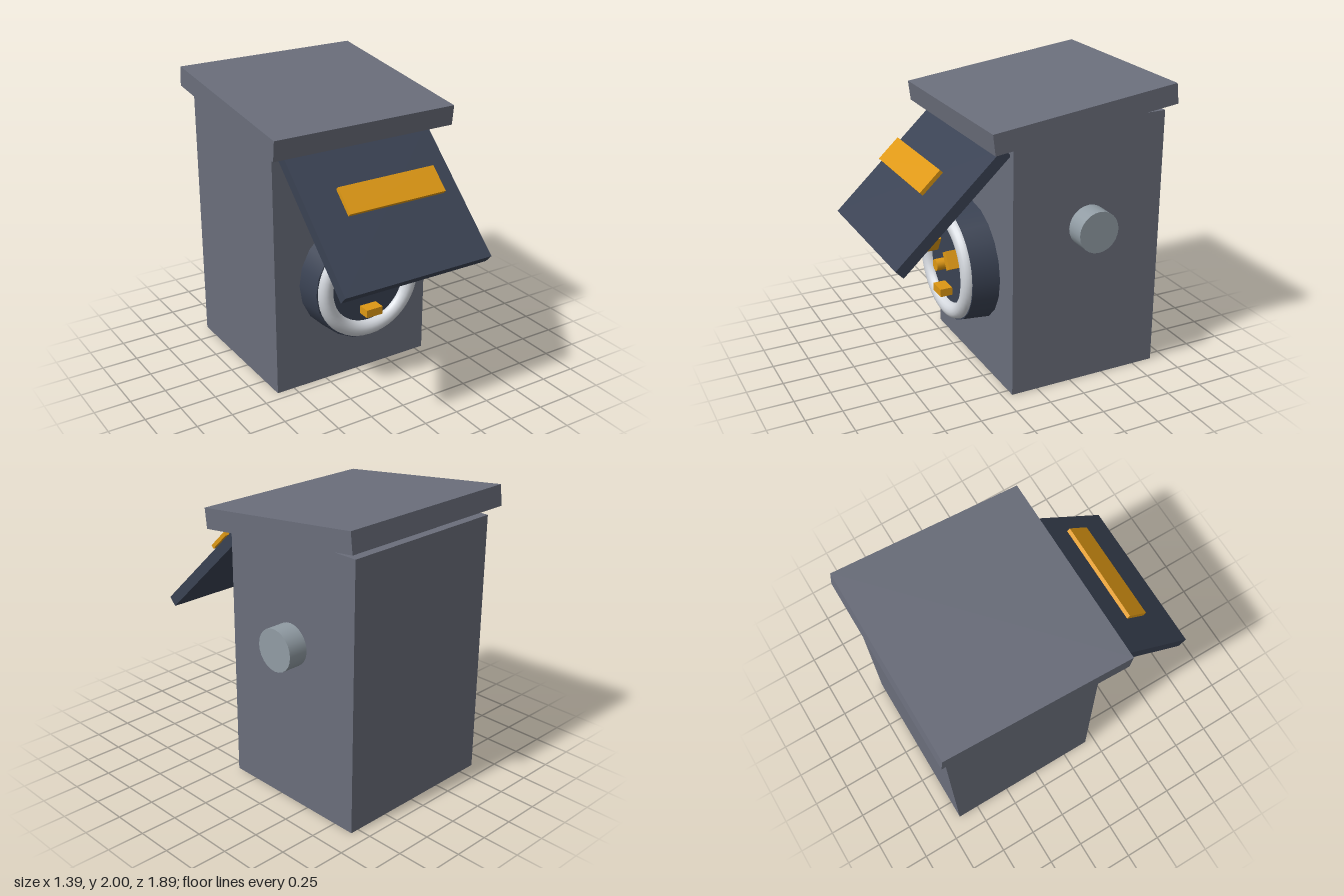
import * as THREE from 'three';

const flat = (name, color) => {
  const m = new THREE.MeshStandardMaterial({ color });
  m.name = name;
  return m;
};

export function createModel() {
  const root = new THREE.Group();
  root.name = 'hutch';
  const stone = flat('slate grey', 0x6a6e7b);
  const navy = flat('dark navy', 0x3a4253);
  const steel = flat('steel', 0x919ca4);
  const silver = flat('silver', 0xd3d7dd);
  const amber = flat('amber', 0xde9814);
  const cx = -0.033;

  const add = (name, geometry, material, x, y, z, parent = root) => {
    const mesh = new THREE.Mesh(geometry, material);
    mesh.name = name;
    mesh.position.set(x, y, z);
    parent.add(mesh);
    return mesh;
  };
  const box = (w, h, d) => new THREE.BoxGeometry(w, h, d);

  // Cabinet and sloping roof
  add('body', box(1.185, 1.81, 1.083), stone, cx, 0.905, -0.357);
  add('roof', box(1.33, 0.137, 1.294), stone, cx, 1.855, -0.295).rotation.x = 0.12;

  // Tilted awning with its floating sign plate
  add('awning', box(1.087, 0.074, 0.985), navy, cx, 1.343, 0.562).rotation.x = 0.749;
  add('signPlate', box(0.707, 0.028, 0.187), amber, cx, 1.487, 0.623).rotation.x = 0.749;

  // Round dial on the front
  const dial = new THREE.Group();
  dial.name = 'dial';
  dial.position.set(cx, 0.755, 0.185);
  root.add(dial);
  const drum = new THREE.CylinderGeometry(0.395, 0.412, 0.185, 20).rotateX(Math.PI / 2);
  add('drum', drum, navy, 0, 0, 0.0925, dial);
  add('rim', new THREE.TorusGeometry(0.33, 0.054, 16, 48), silver, 0, 0, 0.185, dial);
  const hub = new THREE.CylinderGeometry(0.04, 0.04, 0.1, 16).rotateX(Math.PI / 2);
  add('hub', hub, amber, 0, 0, 0.23, dial);

  // Three markers spaced evenly around the hub
  for (let i = 0; i < 3; i++) {
    const a = -Math.PI / 2 + (i * 2 * Math.PI) / 3;
    const marker = add('marker', box(0.122, 0.055, 0.09), amber,
      0.187 * Math.cos(a), 0.187 * Math.sin(a), 0.225, dial);
    marker.rotation.z = a + Math.PI / 2;
  }

  // Side knob
  const knob = new THREE.CylinderGeometry(0.141, 0.141, 0.15, 24).rotateZ(-Math.PI / 2);
  add('sideKnob', knob, steel, 0.621, 1.115, -0.357);

  return root;
}
